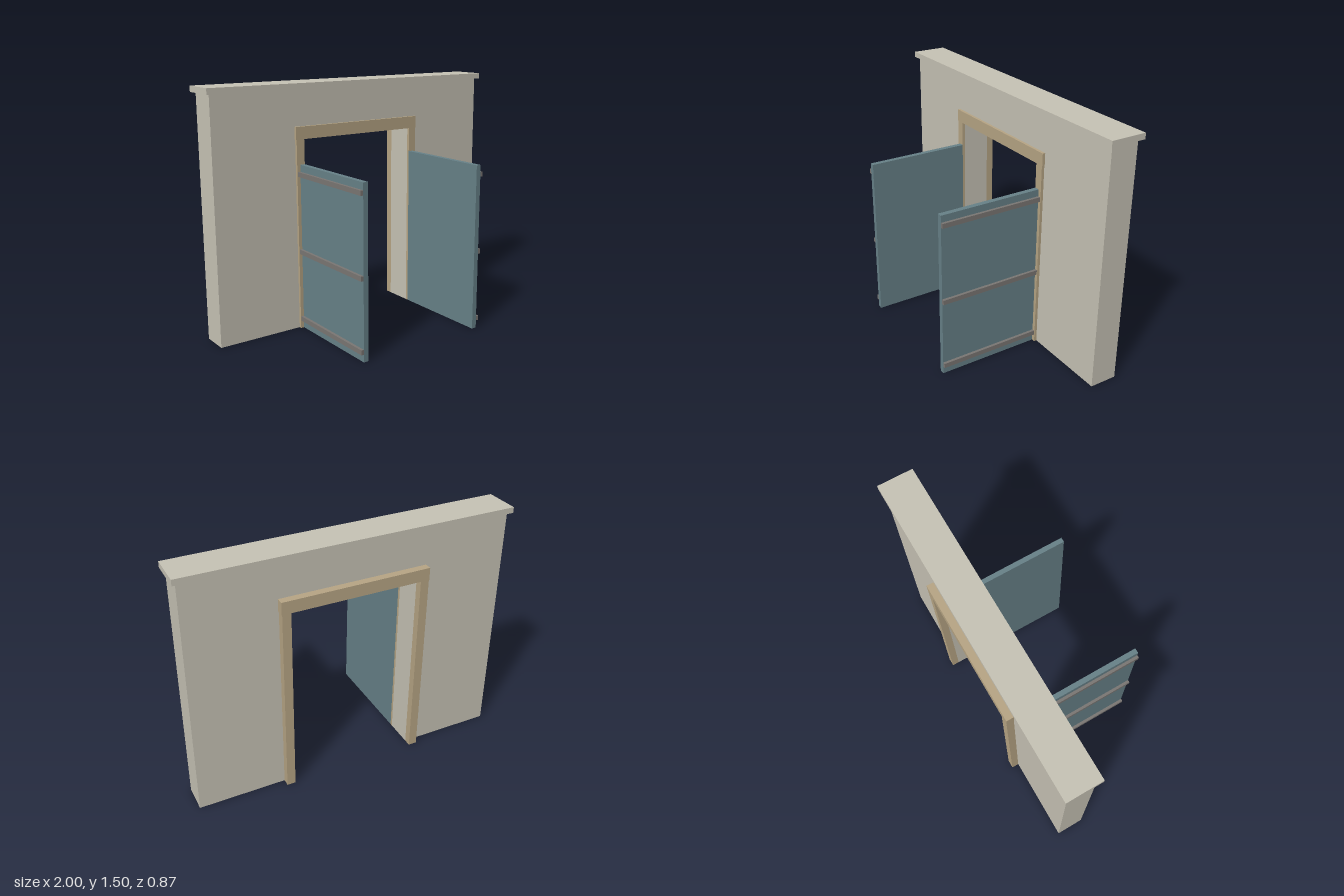
import * as THREE from 'three';

const material = (name, color) => {
  const m = new THREE.MeshStandardMaterial({ color });
  m.name = name;
  return m;
};

export function createModel() {
  const model = new THREE.Group();
  model.name = 'gateway';
  const plaster = material('plaster', 0xc8c4b6);
  const timber = material('timber', 0xb8a685);
  const doorBlue = material('doorBlue', 0x688289);
  const battenGrey = material('battenGrey', 0x7b7774);

  // Box given by its minimum and maximum on each axis
  const box = (name, mat, [x0, x1], [y0, y1], [z0, z1], parent = model) => {
    const mesh = new THREE.Mesh(new THREE.BoxGeometry(x1 - x0, y1 - y0, z1 - z0), mat);
    mesh.position.set((x0 + x1) / 2, (y0 + y1) / 2, (z0 + z1) / 2);
    mesh.name = name;
    parent.add(mesh);
  };

  const inner = 0.395, frameOuter = 0.45, lintelY = 1.175;
  const wallZ = [-0.39, -0.22], frontZ = [-0.22, -0.203], backZ = [-0.435, -0.39];

  // Wall with a doorway cut from its base
  const outline = new THREE.Shape([
    [-0.977, 0], [-inner, 0], [-inner, lintelY + 0.01], [inner, lintelY + 0.01],
    [inner, 0], [0.977, 0], [0.977, 1.468], [-0.977, 1.468],
  ].map(([x, y]) => new THREE.Vector2(x, y)));
  const wall = new THREE.Mesh(
    new THREE.ExtrudeGeometry(outline, { depth: wallZ[1] - wallZ[0], bevelEnabled: false }), plaster);
  wall.position.z = wallZ[0];
  wall.name = 'wall';
  model.add(wall);

  // Coping slab
  box('coping', plaster, [-1, 1], [1.468, 1.503], [-0.415, -0.197]);

  // Header runs through the wall; jambs trim both faces
  box('frameHeader', timber, [-frameOuter, frameOuter], [lintelY, 1.25], [backZ[0], frontZ[1]]);

  for (const [side, s] of [['left', 1], ['right', -1]]) {
    const span = (a, b) => (s > 0 ? [a, b] : [-b, -a]);
    box(side + 'FrontJamb', timber, span(inner, 0.447), [0, lintelY], frontZ);
    box(side + 'BackJamb', timber, span(inner, 0.447), [0, lintelY], backZ);

    // Open door leaf with battens on its outer face
    const door = new THREE.Group();
    door.name = side + 'Door';
    model.add(door);
    const doorZ = [-0.203, 0.436];
    box(side + 'DoorPanel', doorBlue, span(inner, 0.426), [0, 1.025], doorZ, door);
    for (const y of [0.047, 0.477, 0.954])
      box(side + 'DoorBatten', battenGrey, span(0.426, 0.443), [y, y + 0.029], doorZ, door);
  }
  return model;
}
